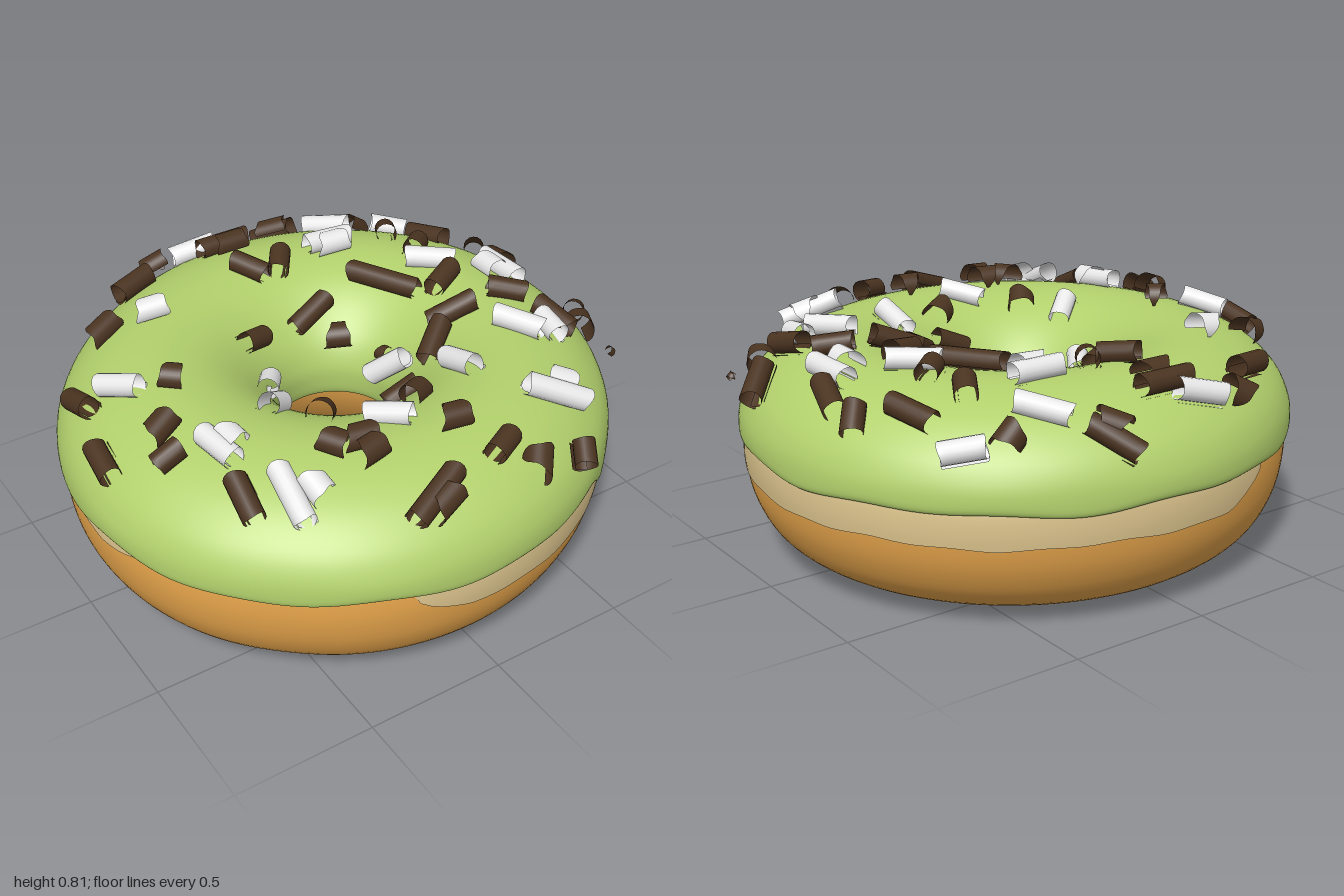
import * as THREE from 'three';

const rad = THREE.MathUtils.degToRad;
const mat = (name, color, side = THREE.FrontSide) => {
  const m = new THREE.MeshStandardMaterial({ color, side });
  m.name = name;
  return m;
};

// Smooth profile through [radius, height] pairs
const spline = (pairs, n) =>
  new THREE.SplineCurve(pairs.map(p => new THREE.Vector2(p[0], p[1]))).getPoints(n);

// Outer outline is slightly oval along one diagonal with a shallow dent; the hole sits off centre
function ringPoint(a, r, y) {
  const outer = Math.max(0, (r - 0.2) / 0.8);
  const dent = 0.008 * Math.exp(-(((a - 2.3) / 0.2) ** 2));
  const k = r * (1 + outer * (0.027 * Math.cos(2 * a + Math.PI / 2) - dent));
  return [k * Math.cos(a) + 0.022 * (1 - r), y, 0.987 * k * Math.sin(a) - 0.022 * (1 - r)];
}

// Sweep a section that may change with the angle
function sweep(section, from = 0, to = Math.PI * 2, steps = 160) {
  const closed = to - from > 6.28;
  const cols = closed ? steps : steps + 1;
  const pos = [], index = [];
  let n = 0;
  for (let i = 0; i < cols; i++) {
    const a = from + (to - from) * i / steps;
    const pts = section(a);
    n = pts.length;
    for (const p of pts) pos.push(...ringPoint(a, p.x, p.y));
  }
  for (let i = 0; i < steps; i++) {
    for (let j = 0; j < n - 1; j++) {
      const p = i * n + j, q = ((i + 1) % cols) * n + j;
      index.push(p, p + 1, q, p + 1, q + 1, q);
    }
  }
  const g = new THREE.BufferGeometry();
  g.setAttribute('position', new THREE.Float32BufferAttribute(pos, 3));
  g.setIndex(index);
  g.computeVertexNormals();
  return g;
}

const doughProfile = spline([[0.26, 0.47], [0.24, 0.38], [0.27, 0.25], [0.35, 0.12], [0.46, 0.03],
  [0.57, 0.002], [0.65, 0.002], [0.785, 0.03], [0.895, 0.105], [0.957, 0.21], [0.981, 0.32],
  [0.979, 0.42], [0.96, 0.47]], 56);

// Wavy lower edge of the icing, with one larger drip
const edge = a => 0.417 + 0.006 * Math.sin(7 * a) + 0.005 * Math.sin(13 * a + 1)
  - 0.052 * Math.exp(-(((a - 0.91) / 0.075) ** 2));

const icingPairs = e => [[0.965, e + 0.015], [0.988, e - 0.004], [1.0, e + 0.022], [0.99, 0.51],
  [0.945, 0.59], [0.85, 0.67], [0.72, 0.722], [0.59, 0.735], [0.46, 0.708], [0.35, 0.645],
  [0.255, 0.55], [0.212, 0.46], [0.207, 0.39], [0.218, 0.335], [0.25, 0.33]];
const icingTop = spline(icingPairs(0.415), 140).filter(p => p.y > 0.43).reverse();

// Height of the icing at a given radius
function icingHeight(r) {
  const i = Math.max(1, icingTop.findIndex(p => p.x >= r));
  const a = icingTop[i - 1], b = icingTop[i];
  return a.y + (b.y - a.y) * (r - a.x) / (b.x - a.x || 1);
}

// Radius of the dough's outer wall at a given height
function wallRadius(y) {
  const wall = doughProfile.filter(p => p.x > 0.7);
  const i = Math.max(1, wall.findIndex(p => p.y >= y));
  const a = wall[i - 1], b = wall[i];
  return a.x + (b.x - a.x) * (y - a.y) / (b.y - a.y);
}

// Pale patch laid on the dough wall, blunt at both ends
function paleBand(from, to, top, depth, taper) {
  return sweep(a => {
    const t = Math.min(1, Math.min(a - from, to - a) / taper);
    const low = top - depth * Math.sqrt(Math.max(0, t)) + 0.004 * Math.sin(9 * a) + 0.003 * Math.sin(23 * a);
    return Array.from({ length: 7 }, (_, j) => {
      const y = low + (top - low) * j / 6;
      return new THREE.Vector2(wallRadius(y) + 0.004, y);
    });
  }, from, to, 100);
}

// Thin sheet of unit length rolled about x; a taper turns it into a pointed flake
function rolledSheet(turns, r0, r1, taper) {
  const g = new THREE.PlaneGeometry(1, 1, 6, 20);
  const p = g.attributes.position;
  for (let i = 0; i < p.count; i++) {
    const v = p.getY(i) + 0.5, u = p.getX(i);
    const a = Math.PI * (0.5 - turns) + v * turns * Math.PI * 2;
    const r = r0 + (r1 - r0) * v;
    const x = u * (1 - taper * v * v) + 0.06 * u * Math.sin(v * 17) + 0.15 * taper * v;
    p.setXYZ(i, x, r * Math.sin(a), r * Math.cos(a));
  }
  g.computeVertexNormals();
  return g;
}

// Toppings: x, z, length, direction in degrees
const darkCurls = [
  [-.40, -.75, .16, -18], [.29, -.90, .18, 50], [0, -.79, .20, 0], [-.02, -.54, .14, 60],
  [.09, -.52, .12, -55], [.74, -.48, .17, 72], [.86, -.34, .11, -50], [.86, -.19, .16, -75],
  [.37, -.24, .27, 60], [.09, -.30, .17, -10], [.58, -.34, .09, -40], [.53, -.10, .14, -25],
  [.45, .07, .18, 15], [.33, .13, .17, -35], [.68, .09, .14, 38], [-.87, -.21, .13, 85],
  [-.93, .08, .15, 95], [-.67, .54, .16, 95], [-.17, .84, .22, -20], [.13, .78, .11, -25],
  [.91, .20, .17, -45], [.10, .27, .13, 5], [.56, -.51, .10, -60], [.74, .29, .16, 80],
  [-.17, -.26, .11, -20], [.41, .86, .09, -60], [-.78, .25, .10, 0]];
const darkFlakes = [
  [-.25, -.87, .11, 20], [0, -.74, .13, 0], [.27, -.87, .12, 40], [.56, -.74, .10, -10],
  [-.65, -.49, .14, -20], [-.60, -.06, .08, 40], [-.75, .14, .12, -20], [-.26, .33, .10, -50],
  [-.34, .53, .10, 60], [-.26, .55, .12, 10], [-.27, .62, .11, -10], [.05, .62, .11, 10],
  [.06, .40, .11, -30], [.21, .87, .12, -50], [-.16, .87, .13, -15], [.14, -.20, .10, 30],
  [.83, .33, .11, -60], [.89, .43, .03, 0], [.23, -.03, .05, 80]];
const whiteCurls = [
  [-.09, -.86, .17, 15], [.43, -.73, .18, 50], [.71, -.71, .14, 35], [.32, -.55, .18, 5],
  [.57, -.23, .18, 40], [.79, -.08, .20, 88], [.19, .05, .16, 50], [.29, .34, .16, 88],
  [.58, .29, .18, 60], [.68, .34, .12, 95], [-.09, .47, .16, 50], [-.55, .62, .21, 95],
  [.46, .65, .22, 30], [-.64, .33, .16, 80], [-.75, -.15, .16, 55], [-.35, .18, .12, -35],
  [-.22, -.08, .12, -55]];
const whiteFlakes = [
  [-.47, -.47, .12, 10], [-.60, .33, .11, 85], [-.48, .64, .11, 85], [.31, -.51, .13, 5],
  [.49, .61, .12, 30], [.73, -.08, .11, 90]];

// Lay each piece along the icing, no steeper than 45 degrees
function scatter(name, list, geometry, material) {
  const group = new THREE.Group();
  group.name = name + 's';
  for (const [x, z, length, deg] of list) {
    const a = Math.atan2(z, x);
    const r = THREE.MathUtils.clamp(Math.hypot(x, z), 0.25, 0.95);
    const slope = THREE.MathUtils.clamp((icingHeight(r + 0.02) - icingHeight(r - 0.02)) / 0.04, -1, 1);
    const up = new THREE.Vector3(-slope * Math.cos(a), 1, -slope * Math.sin(a)).normalize();
    // keep the plan direction while following the slope
    const axis = new THREE.Vector3(Math.cos(rad(deg)), 0, Math.sin(rad(deg)));
    axis.y = slope * Math.cos(rad(deg) - a);
    axis.normalize();
    const across = new THREE.Vector3().crossVectors(axis, up);
    const mesh = new THREE.Mesh(geometry, material);
    mesh.name = name;
    mesh.quaternion.setFromRotationMatrix(new THREE.Matrix4().makeBasis(axis, up, across));
    const size = Math.min(1, length / 0.08);
    mesh.scale.set(length, size, size);
    mesh.position.set(x, icingHeight(r) + 0.025 * size / up.y, z);
    group.add(mesh);
  }
  return group;
}

export function createModel() {
  const model = new THREE.Group();
  model.name = 'donut';
  const add = (name, geometry, material) => {
    const mesh = new THREE.Mesh(geometry, material);
    mesh.name = name;
    model.add(mesh);
  };
  const pale = mat('pale dough', 0xdcc48d);
  const dark = mat('dark chocolate', 0x4a3320, THREE.DoubleSide);
  const white = mat('white chocolate', 0xe8e8e8, THREE.DoubleSide);

  // Ring and icing
  add('dough', sweep(() => doughProfile), mat('golden dough', 0xe5a44b));
  add('paleBand', paleBand(rad(-112), rad(109), 0.445, 0.14, 0.22), pale);
  add('palePatch', paleBand(rad(160), rad(185), 0.425, 0.055, 0.25), pale);
  add('icing', sweep(a => spline(icingPairs(edge(a)), 60)), mat('green icing', 0xb2d06c));

  // Chocolate shavings
  const curl = rolledSheet(1.3, 0.045, 0.033, 0);
  const flake = rolledSheet(0.65, 0.04, 0.055, 0.85);
  model.add(
    scatter('darkCurl', darkCurls, curl, dark),
    scatter('darkFlake', darkFlakes, flake, dark),
    scatter('whiteCurl', whiteCurls, curl, white),
    scatter('whiteFlake', whiteFlakes, flake, white));
  return model;
}
